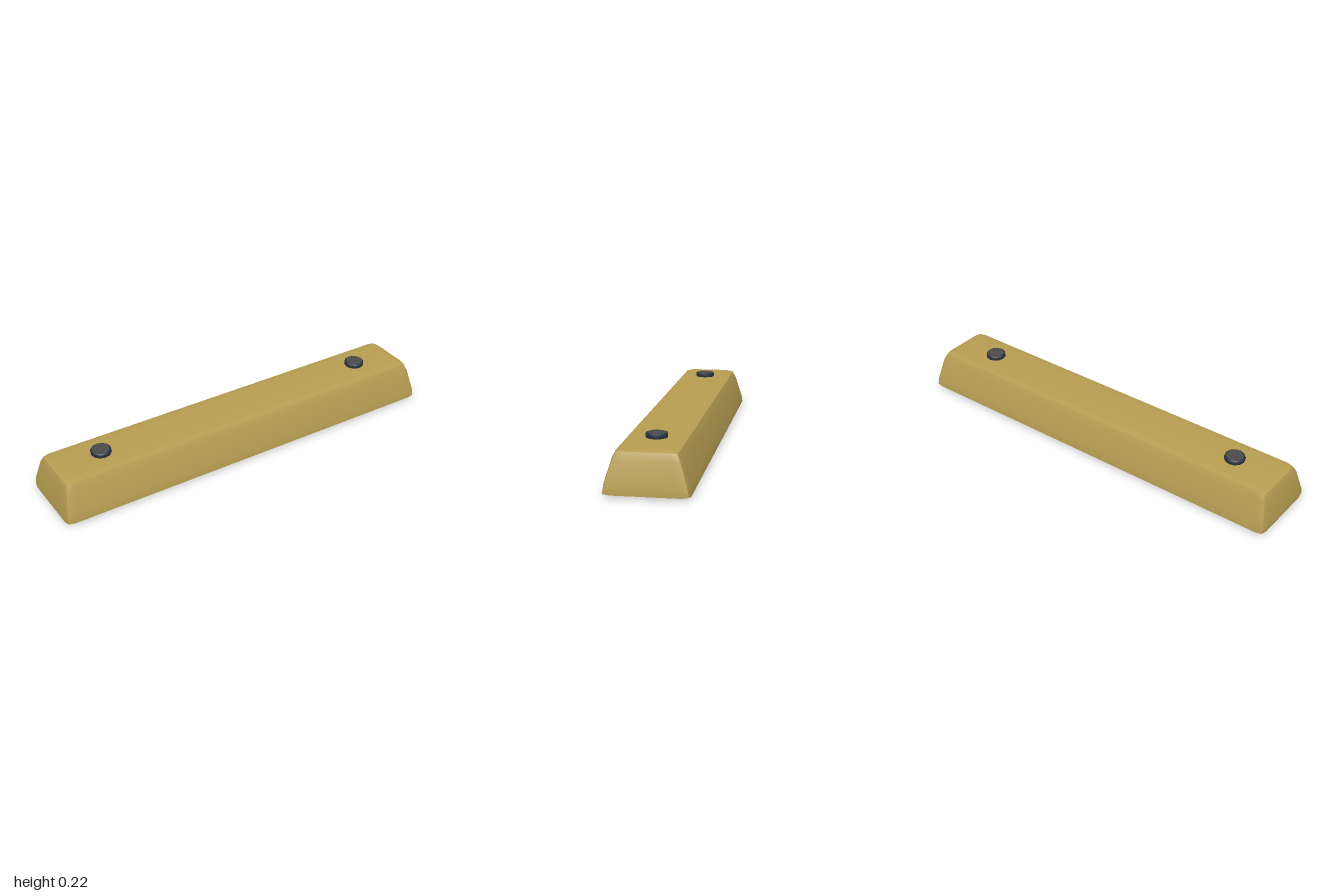
import * as THREE from 'three';

// Pillow-faced tapered bar: sharp edges, gently bulging faces
function barGeometry() {
  const geo = new THREE.BoxGeometry(2, 2, 2, 3, 3, 3);
  const p = geo.attributes.position;
  const isEdge = (v) => Math.abs(v) > 0.9;
  for (let i = 0; i < p.count; i++) {
    const [a, b, c] = [p.getX(i), p.getY(i), p.getZ(i)];
    const extremes = [a, b, c].filter(isEdge).length;
    // height fraction, with loops close to the bottom and top edges
    const t = isEdge(b) ? (b > 0 ? 1 : 0) : (b > 0 ? 0.81 : 0.2);
    const halfX = THREE.MathUtils.lerp(0.997, 0.963, t);
    const halfZ = THREE.MathUtils.lerp(0.185, 0.131, t);
    let x = Math.sign(a) * halfX * (isEdge(a) ? 1 : 0.965);
    let y = THREE.MathUtils.lerp(0.01, 0.188, t);
    let z = Math.sign(c) * halfZ * (isEdge(c) ? 1 : THREE.MathUtils.lerp(0.81, 0.725, t));
    if (extremes === 1) {
      // face interiors bulge outward
      if (isEdge(a)) x += Math.sign(a) * 0.007;
      if (isEdge(b)) y += b > 0 ? 0.008 : -0.01;
      if (isEdge(c)) z += Math.sign(c) * 0.007;
    } else if (extremes === 3) {
      // corners are drawn in slightly
      x -= Math.sign(a) * 0.006;
      y -= Math.sign(b) * 0.003;
      z -= Math.sign(c) * 0.005;
    }
    p.setXYZ(i, x, y, z);
  }
  geo.computeVertexNormals();
  return geo;
}

export function createModel() {
  const ochre = new THREE.MeshStandardMaterial({ name: 'ochre', color: 0xb89e52 });
  const darkSteel = new THREE.MeshStandardMaterial({ name: 'dark blue steel', color: 0x2a3340 });
  const grey = new THREE.MeshStandardMaterial({ name: 'dark grey', color: 0x4a4a4a });

  const model = new THREE.Group();
  model.name = 'parkingCurb';
  const add = (parent, name, geo, mat, y = 0) => {
    const mesh = new THREE.Mesh(geo, mat);
    mesh.name = name;
    mesh.position.y = y;
    parent.add(mesh);
  };
  add(model, 'curbBody', barGeometry(), ochre);

  // Bolt heads with a bevelled rim and a flat grey top
  const rim = [[0.044, 0.19], [0.049, 0.199], [0.049, 0.211], [0.047, 0.216], [0.042, 0.218]]
    .map(([r, y]) => new THREE.Vector2(r, y));
  for (const side of [-1, 1]) {
    const bolt = new THREE.Group();
    bolt.name = side > 0 ? 'leftBolt' : 'rightBolt';
    bolt.position.x = side * 0.727;
    add(bolt, 'boltHead', new THREE.LatheGeometry(rim, 12), darkSteel);
    add(bolt, 'boltTop', new THREE.CircleGeometry(0.042, 12).rotateX(-Math.PI / 2), grey, 0.218);
    model.add(bolt);
  }
  return model;
}
